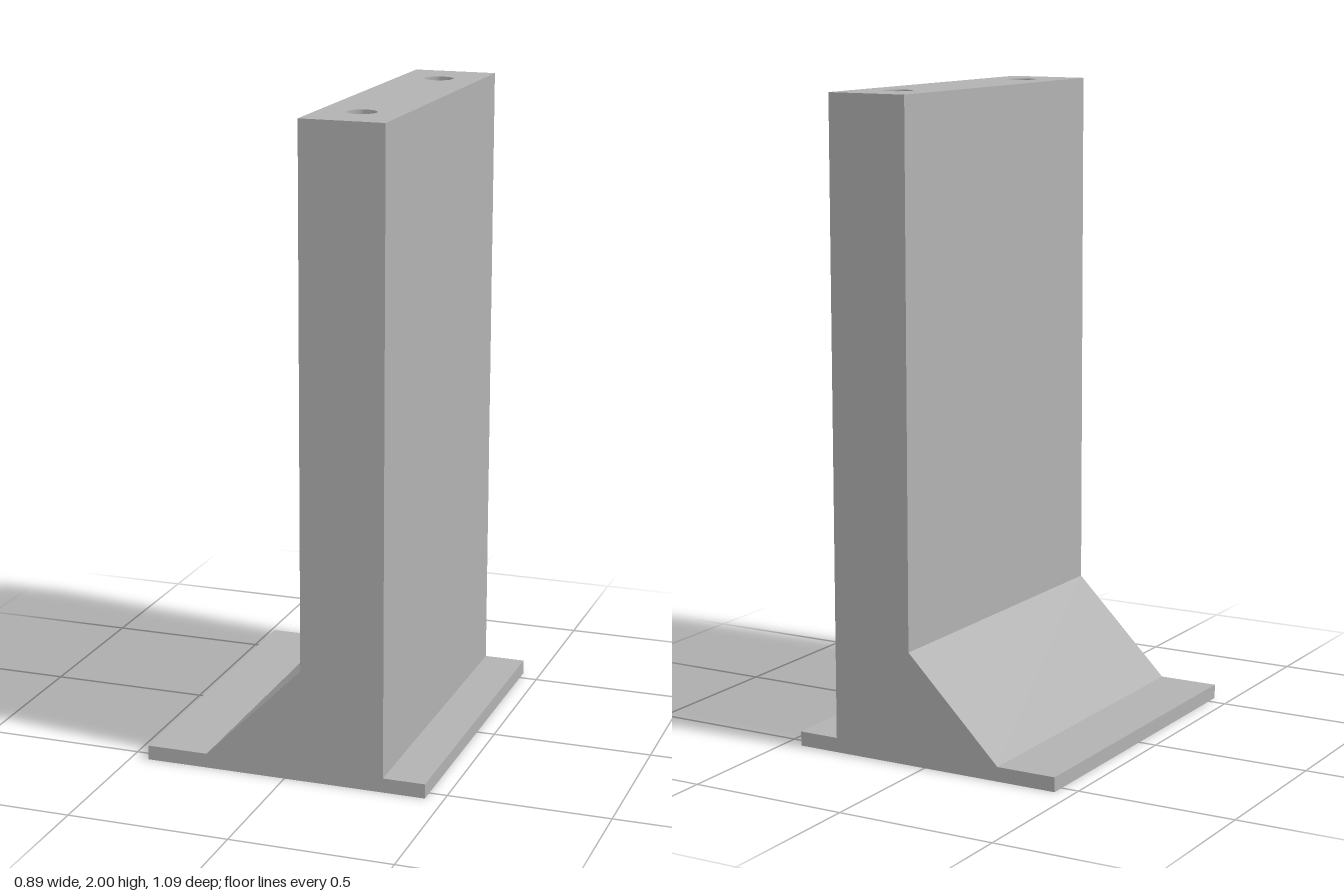
import * as THREE from 'three';
import { toCreasedNormals } from 'three/addons/utils/BufferGeometryUtils.js';

const DEPTH = 1.086, TOP = 2, BASE = 0.045;
const WALL_LEFT = 0.053, WALL_RIGHT = 0.313;
const HOLE = { x: 0.183, z: 0.368, radius: 0.045, depth: 0.4 };

// Copy of a geometry without the triangles lying in the plane y = height
function withoutFaceAt(geometry, height) {
  const src = geometry.index ? geometry.toNonIndexed() : geometry;
  const p = src.getAttribute('position');
  const kept = [];
  for (let i = 0; i < p.count; i += 3) {
    if ([0, 1, 2].every((k) => Math.abs(p.getY(i + k) - height) < 1e-5)) continue;
    for (let k = 0; k < 3; k++) kept.push(p.getX(i + k), p.getY(i + k), p.getZ(i + k));
  }
  const out = new THREE.BufferGeometry();
  out.setAttribute('position', new THREE.Float32BufferAttribute(kept, 3));
  out.computeVertexNormals();
  return out;
}

export function createModel() {
  const group = new THREE.Group();
  group.name = 'wallBracket';
  const grey = new THREE.MeshStandardMaterial({ color: 0xb2b2b2, side: THREE.DoubleSide });
  grey.name = 'grey';

  const add = (name, geometry) => {
    const mesh = new THREE.Mesh(geometry, grey);
    mesh.name = name;
    group.add(mesh);
    return mesh;
  };

  // Foot plate, sloped gusset and upright wall as one profile
  const profile = new THREE.Shape([
    [-0.444, 0], [0.444, 0], [0.444, BASE], [WALL_RIGHT, BASE], [WALL_RIGHT, TOP],
    [WALL_LEFT, TOP], [WALL_LEFT, 0.35], [-0.252, BASE], [-0.444, BASE],
  ].map(([x, y]) => new THREE.Vector2(x, y)));
  const body = new THREE.ExtrudeGeometry(profile, { depth: DEPTH, bevelEnabled: false });
  body.translate(0, 0, -DEPTH / 2);
  add('uprightAndFoot', withoutFaceAt(body, TOP));

  // Top face pierced by the two holes
  const h = DEPTH / 2;
  const top = new THREE.Shape([
    [WALL_LEFT, -h], [WALL_RIGHT, -h], [WALL_RIGHT, h], [WALL_LEFT, h],
  ].map(([x, y]) => new THREE.Vector2(x, y)));
  for (const side of [-1, 1]) {
    top.holes.push(new THREE.Path().absarc(HOLE.x, side * HOLE.z, HOLE.radius, 0, Math.PI * 2, true));
  }
  const topGeometry = new THREE.ShapeGeometry(top, 16);
  topGeometry.rotateX(-Math.PI / 2);
  add('topFace', topGeometry).position.y = TOP;

  // Blind holes: inward-facing wall and floor
  const bore = toCreasedNormals(new THREE.LatheGeometry([
    new THREE.Vector2(HOLE.radius, 0),
    new THREE.Vector2(HOLE.radius, -HOLE.depth),
    new THREE.Vector2(0, -HOLE.depth),
  ], 32), Math.PI / 4);
  for (const side of [-1, 1]) {
    add(side > 0 ? 'frontHole' : 'backHole', bore).position.set(HOLE.x, TOP, side * HOLE.z);
  }

  return group;
}
